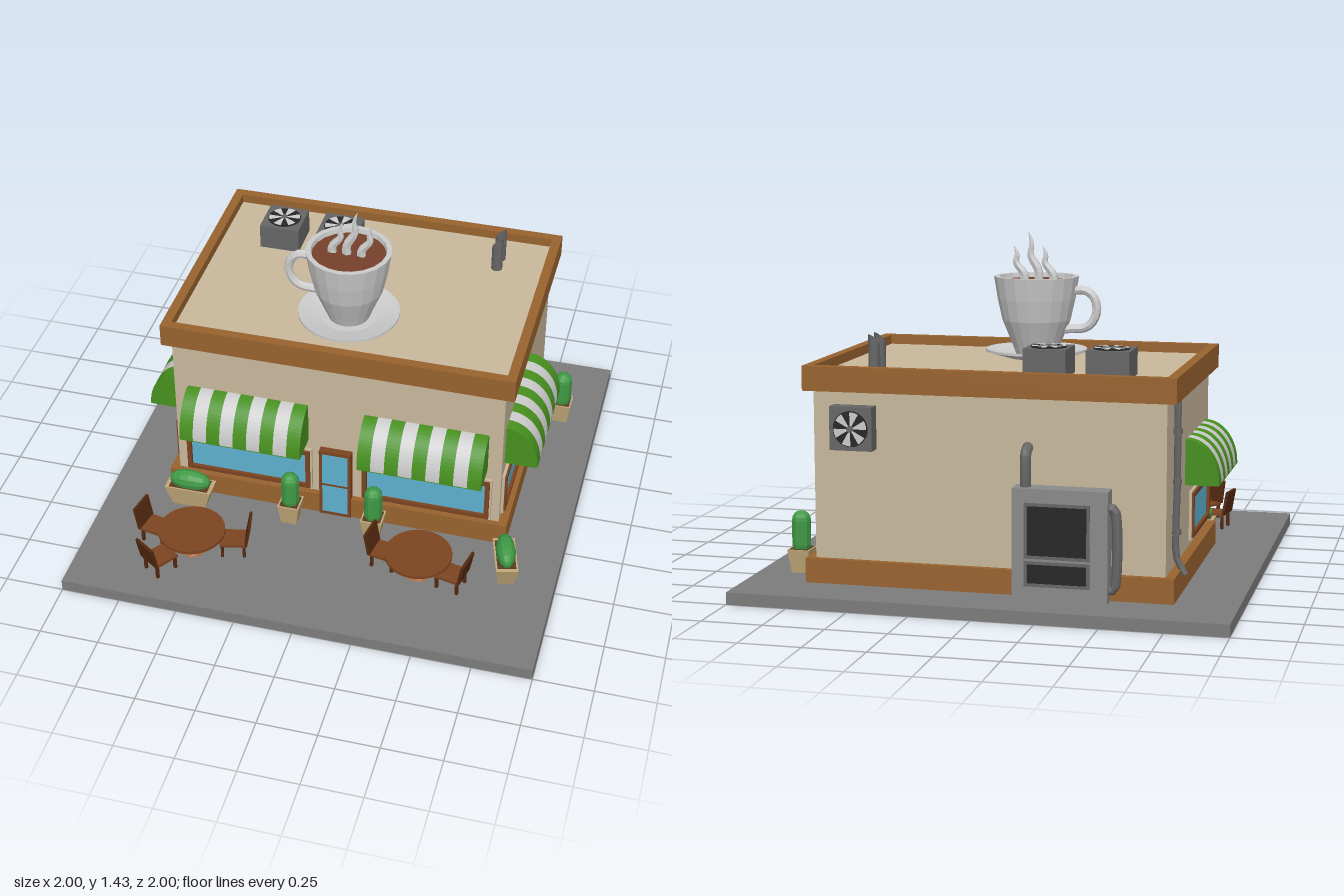
import * as THREE from 'three';

const C = {
  wall: 0xc8b89c, trim: 0x99632f, wood: 0x7c4420, darkWood: 0x53290f, oak: 0xa0622d, glass: 0x5fb0d0,
  green: 0x47901f, leaf: 0x3f9a45, pot: 0xc0a878, soil: 0x5a3a22, ground: 0x7c7c7c,
  metal: 0x666666, panel: 0x8a8a8a, dark: 0x262626, grey: 0xcccccc, coffee: 0x75402c,
};
const mats = {};
const mat = (color) => (mats[color] ??= new THREE.MeshStandardMaterial({ color, flatShading: true, side: THREE.DoubleSide }));

function add(parent, name, color, geo, x = 0, y = 0, z = 0) {
  const m = new THREE.Mesh(geo, mat(color));
  m.name = name;
  m.position.set(x, y, z);
  parent.add(m);
  return m;
}
const box = (p, name, color, w, h, d, x, y, z) => add(p, name, color, new THREE.BoxGeometry(w, h, d), x, y, z);
const cyl = (p, name, color, r1, r2, h, x, y, z, n = 16) => add(p, name, color, new THREE.CylinderGeometry(r1, r2, h, n), x, y, z);
const path = (pts) => new THREE.CatmullRomCurve3(pts.map((q) => new THREE.Vector3(...q)));
function group(parent, name, x = 0, y = 0, z = 0, ry = 0) {
  const g = new THREE.Group();
  g.name = name;
  g.position.set(x, y, z);
  g.rotation.y = ry;
  parent.add(g);
  return g;
}

// Rectangular ring lying in the ground plane (or upright when flat is false)
function ring(w, d, t, h, flat) {
  const rect = (S, a, b) => new S([[-a, -b], [a, -b], [a, b], [-a, b]].map((q) => new THREE.Vector2(...q)));
  const s = rect(THREE.Shape, w / 2, d / 2);
  s.holes.push(rect(THREE.Path, w / 2 - t, d / 2 - t));
  const geo = new THREE.ExtrudeGeometry(s, { depth: h, bevelEnabled: false });
  return flat ? geo.rotateX(-Math.PI / 2) : geo;
}

// Window facing local +z
function windowUnit(root, x, y, z, ry, w, h) {
  const g = group(root, 'window', x, y, z, ry);
  add(g, 'windowSurround', C.wall, ring(w, h, 0.012, 0.012, false));
  add(g, 'windowFrame', C.wood, ring(w - 0.016, h - 0.016, 0.02, 0.02, false));
  box(g, 'windowGlass', C.glass, w - 0.05, h - 0.05, 0.006, 0, 0, 0.004);
}

// Striped awning bulging toward local +x
function awning(root, x, z, ry) {
  const g = group(root, 'awning', x, 0.432, z, ry);
  const n = 9, len = 0.53, step = len / n;
  const s = new THREE.Shape();
  s.moveTo(0, 0);
  s.lineTo(0.14, 0);
  s.absellipse(0, 0, 0.14, 0.182, 0, Math.PI / 2, false);
  s.lineTo(0, 0);
  const geo = new THREE.ExtrudeGeometry(s, { depth: step, bevelEnabled: false, curveSegments: 8 });
  for (let i = 0; i < n; i++) add(g, 'awningStripe', i % 2 ? C.grey : C.green, geo, 0, 0, -len / 2 + i * step);
  box(g, 'awningUnderside', C.green, 0.14, 0.004, len, 0.07, -0.002, 0);
}

// Fan unit with its fan facing local +y
function fanUnit(root, name, x, y, z, h) {
  const g = group(root, name, x, y, z);
  box(g, 'fanHousing', C.metal, 0.175, h, 0.175, 0, h / 2, 0);
  cyl(g, 'fanWell', C.dark, 0.072, 0.072, 0.004, 0, h + 0.001, 0, 24);
  for (let i = 0; i < 6; i++) {
    const blade = new THREE.CircleGeometry(0.068, 5, i * Math.PI / 3, 0.55).rotateX(-Math.PI / 2);
    add(g, 'fanBlade', C.grey, blade, 0, h + 0.006, 0);
  }
  cyl(g, 'fanHub', C.metal, 0.014, 0.014, 0.008, 0, h + 0.006, 0, 12);
  return g;
}

// Tapered planter with a tall cactus or a long low shrub
function planter(root, x, z, ry, long) {
  const g = group(root, long ? 'shrubPlanter' : 'cactusPlanter', x, 0.05, z, ry);
  const sx = long ? 2.2 : 1;
  const pot = new THREE.CylinderGeometry(0.066, 0.047, 0.097, 4).rotateY(Math.PI / 4).scale(sx, 1, 1);
  add(g, 'pot', C.pot, pot, 0, 0.0485, 0);
  box(g, 'soil', C.soil, 0.078 * sx, 0.004, 0.078, 0, 0.097, 0);
  if (long) add(g, 'shrub', C.leaf, new THREE.SphereGeometry(1, 12, 8).rotateZ(Math.PI / 2).scale(0.092, 0.05, 0.042), 0, 0.12, 0);
  else add(g, 'cactus', C.leaf, new THREE.CapsuleGeometry(0.04, 0.1, 4, 10), 0, 0.165, 0);
}

// Chair with its back toward local +x
function chair(root, x, z, ry) {
  const g = group(root, 'chair', x, 0.05, z, ry);
  box(g, 'chairSeat', C.wood, 0.11, 0.012, 0.1, -0.055, 0.066, 0);
  box(g, 'chairBack', C.darkWood, 0.012, 0.105, 0.11, 0.01, 0.12, 0).rotation.z = -0.18;
  for (const lx of [-0.1, -0.008]) for (const lz of [-0.04, 0.04])
    box(g, 'chairLeg', C.darkWood, 0.012, 0.064, 0.012, lx, 0.032, lz);
}

function tableSet(root, x, z, seats) {
  const g = group(root, 'tableSet', x, 0, z);
  cyl(g, 'tableTop', C.wood, 0.142, 0.142, 0.014, 0, 0.158, 0, 24);
  cyl(g, 'tablePost', C.oak, 0.014, 0.02, 0.1, 0, 0.102, 0, 8);
  cyl(g, 'tableFoot', C.oak, 0.025, 0.055, 0.016, 0, 0.058, 0, 10);
  for (const [dx, dz] of seats) chair(g, dx, dz, Math.atan2(-dz, dx));
}

// Tapering wisp following an S curve
function wisp(parent, x, s) {
  const c = path([[0, 0, 0], [0, 0.05, 0], [0.035, 0.11, 0], [0.03, 0.15, 0], [0.045, 0.2, 0]]);
  const n = 14, r = 6;
  const geo = new THREE.TubeGeometry(c, n, 0.02, r, false);
  const p = geo.attributes.position, v = new THREE.Vector3();
  for (let i = 0; i < p.count; i++) {
    const t = Math.floor(i / (r + 1)) / n, mid = c.getPointAt(t);
    v.fromBufferAttribute(p, i).sub(mid).multiplyScalar(1 - t ** 2.5).add(mid);
    p.setXYZ(i, v.x, v.y, v.z * 0.8);
  }
  add(parent, 'steam', C.grey, geo.scale(1, s, 1), x, 1.2, 0);
}

export function createModel() {
  const root = new THREE.Group();
  root.name = 'coffeeShop';
  box(root, 'ground', C.ground, 2, 0.05, 2, 0, 0.025, 0);

  // Building shell
  const cz = -0.23;
  box(root, 'walls', C.wall, 1.425, 0.84, 1.03, 0, 0.47, cz);
  box(root, 'baseTrim', C.trim, 1.5, 0.1, 1.08, 0, 0.1, cz);
  add(root, 'roofTrim', C.trim, ring(1.505, 1.08, 0.04, 0.1, true), 0, 0.83, cz);

  // Openings and awnings
  for (const s of [-1, 1]) {
    windowUnit(root, s * 0.392, 0.27, 0.285, 0, 0.57, 0.22);
    windowUnit(root, s * 0.712, 0.277, 0.03, s * Math.PI / 2, 0.455, 0.205);
    awning(root, s * 0.388, 0.285, -Math.PI / 2);
    awning(root, s * 0.712, -0.042, s > 0 ? 0 : Math.PI);
  }
  box(root, 'doorFrame', C.wood, 0.14, 0.35, 0.04, 0, 0.225, 0.297);
  box(root, 'doorGlassUpper', C.glass, 0.112, 0.16, 0.042, 0, 0.305, 0.298);
  box(root, 'doorGlassLower', C.glass, 0.112, 0.145, 0.042, 0, 0.14, 0.298);

  // Cup and saucer on the roof
  const cup = group(root, 'cupSign', -0.02, 0, 0);
  const lathe = (pts, n) => new THREE.LatheGeometry(pts.map((q) => new THREE.Vector2(...q)), n);
  add(cup, 'saucer', C.grey, lathe([[0, 0.89], [0.12, 0.89], [0.215, 0.918], [0.215, 0.928], [0.12, 0.905], [0, 0.905]], 28));
  add(cup, 'cupBody', C.grey, lathe([[0, 0.9], [0.085, 0.9], [0.1, 0.94], [0.145, 1.05], [0.165, 1.14], [0.18, 1.235], [0.158, 1.235], [0.15, 1.19]], 20));
  cyl(cup, 'coffee', C.coffee, 0.157, 0.152, 0.01, 0, 1.21, 0, 20);
  const grip = path([[-0.15, 1.175, 0], [-0.21, 1.178, 0], [-0.25, 1.145, 0], [-0.258, 1.08, 0], [-0.22, 1.025, 0], [-0.12, 1.012, 0]]);
  add(cup, 'cupHandle', C.grey, new THREE.TubeGeometry(grip, 16, 0.019, 8));
  wisp(cup, -0.07, 0.83);
  wisp(cup, -0.008, 1.13);
  wisp(cup, 0.055, 0.83);

  // Fan units and slant-cut vents
  for (const x of [-0.445, -0.19]) fanUnit(root, 'roofFan', x, 0.88, -0.495, 0.12);
  fanUnit(root, 'wallFan', 0.54, 0.69, -0.74, 0.065).rotation.x = -Math.PI / 2;
  for (const z of [-0.585, -0.51]) {
    const geo = new THREE.CylinderGeometry(0.024, 0.024, 0.14, 14, 1, true);
    const p = geo.attributes.position;
    for (let i = 0; i < p.count; i++) if (p.getY(i) > 0) p.setY(i, 0.07 + p.getX(i) * 0.8);
    add(root, 'roofVent', C.metal, geo, 0.51, 0.95, z);
    cyl(root, 'ventCore', z < -0.55 ? C.grey : C.metal, 0.018, 0.018, 0.1, 0.51, 0.94, z, 12);
  }

  // Service cabinet on the back wall
  const cab = group(root, 'serviceCabinet', -0.31, 0, -0.783);
  box(cab, 'cabinetBody', C.panel, 0.38, 0.44, 0.09, 0, 0.27, 0);
  for (const [y, h] of [[0.325, 0.2], [0.155, 0.08]]) {
    add(cab, 'cabinetFrame', C.metal, ring(0.26, h + 0.02, 0.012, 0.008, false), 0.01, y, -0.052);
    box(cab, 'cabinetPanel', C.dark, 0.24, h, 0.004, 0.01, y, -0.046);
  }
  const flue = path([[0.145, 0.46, 0], [0.145, 0.58, 0], [0.145, 0.625, 0.01], [0.145, 0.64, 0.05]]);
  add(cab, 'fluePipe', C.metal, new THREE.TubeGeometry(flue, 14, 0.022, 10));
  const side = path([[-0.17, 0.42, 0], [-0.205, 0.415, 0], [-0.215, 0.38, 0], [-0.215, 0.14, 0], [-0.205, 0.1, 0], [-0.17, 0.095, 0]]);
  add(cab, 'sidePipe', C.metal, new THREE.TubeGeometry(side, 24, 0.02, 10));

  // Drainpipe with clamps
  const drain = path([[-0.73, 0.83, -0.6], [-0.73, 0.5, -0.6], [-0.73, 0.2, -0.6], [-0.745, 0.165, -0.6], [-0.765, 0.13, -0.6]]);
  add(root, 'drainpipe', C.metal, new THREE.TubeGeometry(drain, 20, 0.014, 8));
  for (const y of [0.3, 0.5, 0.7]) cyl(root, 'pipeClamp', C.metal, 0.019, 0.019, 0.02, -0.73, y, -0.6, 8);

  // Outdoor seating and plants
  tableSet(root, -0.53, 0.675, [[0.225, -0.05], [-0.222, -0.042], [-0.125, 0.187]]);
  tableSet(root, 0.43, 0.575, [[-0.2, -0.035], [0.2, 0.045]]);
  planter(root, -0.18, 0.385, 0, false);
  planter(root, 0.187, 0.385, 0, false);
  planter(root, 0.83, -0.595, 0, false);
  planter(root, -0.633, 0.385, 0, true);
  planter(root, 0.78, 0.475, -1.3, true);
  return root;
}
